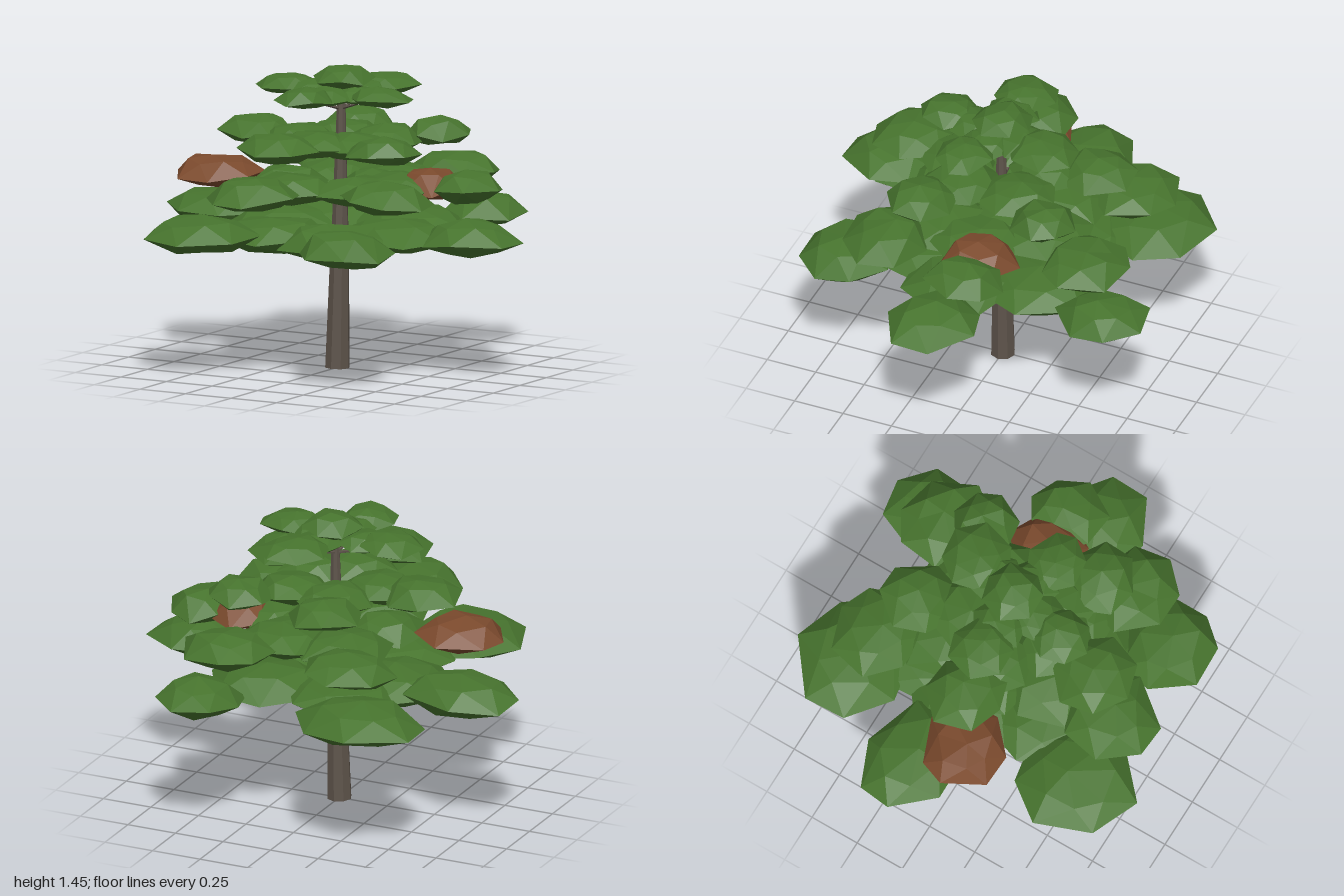
import * as THREE from 'three';

const bark = new THREE.MeshStandardMaterial({ color: 0x5e544b });
bark.name = 'bark';
const leaf = new THREE.MeshStandardMaterial({ color: 0x47742e });
leaf.name = 'leafGreen';
const dry = new THREE.MeshStandardMaterial({ color: 0x7b4a2d });
dry.name = 'dryBrown';

// Small seeded generator for the irregular outlines
let seed = 7;
const rand = () => (seed = (seed * 16807) % 2147483647) / 2147483647;
const jitter = (a) => (rand() * 2 - 1) * a;

// Faceted foliage pad: three uneven rings closed by two poles
function padGeometry(rx, rz, h) {
  const n = 7, twist = rand() * 6.28;
  const rings = [[0.64, -0.42, 0.06], [1.03, -0.14, 0.15], [0.62, 0.36, 0.08]];
  const pts = rings.map(([r, y, dy], k) => Array.from({ length: n }, (_, i) => {
    const a = twist + ((i + k * 0.5 + jitter(0.16)) / n) * Math.PI * 2;
    const s = r * (1 + jitter(0.06));
    return [Math.cos(a) * rx * s, (y + jitter(dy)) * h, Math.sin(a) * rz * s];
  }));
  const bottom = [0, -0.52 * h, 0], top = [jitter(0.15) * rx, 0.53 * h, jitter(0.15) * rz];
  const out = [];
  const tri = (a, b, c) => out.push(...a, ...b, ...c);
  for (let i = 0; i < n; i++) {
    const j = (i + 1) % n;
    tri(bottom, pts[0][i], pts[0][j]);
    for (let k = 0; k < 2; k++) {
      const lo = pts[k], hi = pts[k + 1];
      tri(lo[i], hi[i], lo[j]);
      tri(lo[j], hi[i], hi[j]);
    }
    tri(pts[2][i], top, pts[2][j]);
  }
  const g = new THREE.BufferGeometry();
  g.setAttribute('position', new THREE.Float32BufferAttribute(out, 3));
  g.computeVertexNormals();
  return g;
}

function pad(name, x, y, z, rx, rz, h, mat = leaf) {
  const m = new THREE.Mesh(padGeometry(rx, rz, h), mat);
  m.name = name;
  m.position.set(x, y, z);
  return m;
}

// Tapered limb between two points
function limb(name, a, b, r0, r1, sides) {
  const d = b.clone().sub(a);
  const g = new THREE.CylinderGeometry(r1, r0, d.length(), sides).toNonIndexed();
  g.computeVertexNormals();
  const m = new THREE.Mesh(g, bark);
  m.name = name;
  m.position.copy(a).addScaledVector(d, 0.5);
  m.quaternion.setFromUnitVectors(new THREE.Vector3(0, 1, 0), d.normalize());
  return m;
}

// Outer pads of each tier: x, z, x radius, z radius, material
const tiers = [
  { y: 0.695, h: 0.165, root: 0.585, inner: 0.29, pads: [
    [-0.41, -0.62, 0.31, 0.28], [0.4, -0.69, 0.21, 0.22], [0.75, 0.04, 0.25, 0.22],
    [-0.7, -0.12, 0.3, 0.23], [-0.4, 0.6, 0.28, 0.3], [0.41, 0.63, 0.24, 0.23]] },
  { y: 0.91, h: 0.145, root: 0.81, inner: 0.24, pads: [
    [-0.32, -0.55, 0.24, 0.2], [0.32, -0.56, 0.23, 0.21], [0.66, -0.09, 0.17, 0.19],
    [0.46, -0.08, 0.16, 0.19, dry], [0.49, 0.38, 0.22, 0.2], [-0.11, 0.61, 0.22, 0.25],
    [-0.6, 0.1, 0.22, 0.2, dry]] },
  { y: 1.12, h: 0.13, root: 1.03, inner: 0.19, pads: [
    [-0.43, 0.01, 0.2, 0.18], [-0.13, -0.43, 0.18, 0.18], [0.34, -0.36, 0.16, 0.16],
    [0.4, 0.25, 0.18, 0.17], [-0.04, 0.48, 0.2, 0.19]] },
  { y: 1.34, h: 0.09, root: 1.245, inner: 0.13, pads: [
    [-0.27, 0, 0.16, 0.15], [0.11, -0.26, 0.17, 0.17],
    [0.28, 0.08, 0.15, 0.14], [-0.02, 0.28, 0.14, 0.15]] },
];

export function createModel() {
  const tree = new THREE.Group();
  tree.name = 'tree';

  // Slightly leaning trunk
  const v = (x, y, z) => new THREE.Vector3(x, y, z);
  tree.add(limb('trunk', v(0, 0, 0), v(0.014, 0.66, 0), 0.06, 0.043, 8));
  tree.add(limb('upperTrunk', v(0.014, 0.64, 0), v(0.022, 1.36, 0), 0.042, 0.018, 8));

  tiers.forEach((t, k) => {
    const tier = new THREE.Group();
    tier.name = `tier${k + 1}`;
    t.pads.forEach(([x, z, rx, rz, mat]) => {
      const y = t.y + jitter(0.006);
      tier.add(pad('outerPad', x, y, z, rx, rz, t.h, mat));
      // Pads fill the branch back towards the trunk, smaller behind the dry ones
      const f = mat ? 0.4 : 0.47, side = jitter(0.08);
      const r = t.inner * (mat ? 0.75 : 1);
      tier.add(pad('innerPad', x * f - z * side, y - t.h * 0.13, z * f + x * side,
        r, r, t.h * 0.9));
      // Branch runs just under the foliage
      tier.add(limb('branch', v(0.015, t.root, 0), v(x * 0.55, t.root + 0.045, z * 0.55),
        0.014 - k * 0.002, 0.005, 5));
    });
    tree.add(tier);
  });

  // Tuft on the tip of the trunk
  tree.add(pad('crown', 0.03, 1.395, -0.01, 0.145, 0.145, 0.11));
  return tree;
}
